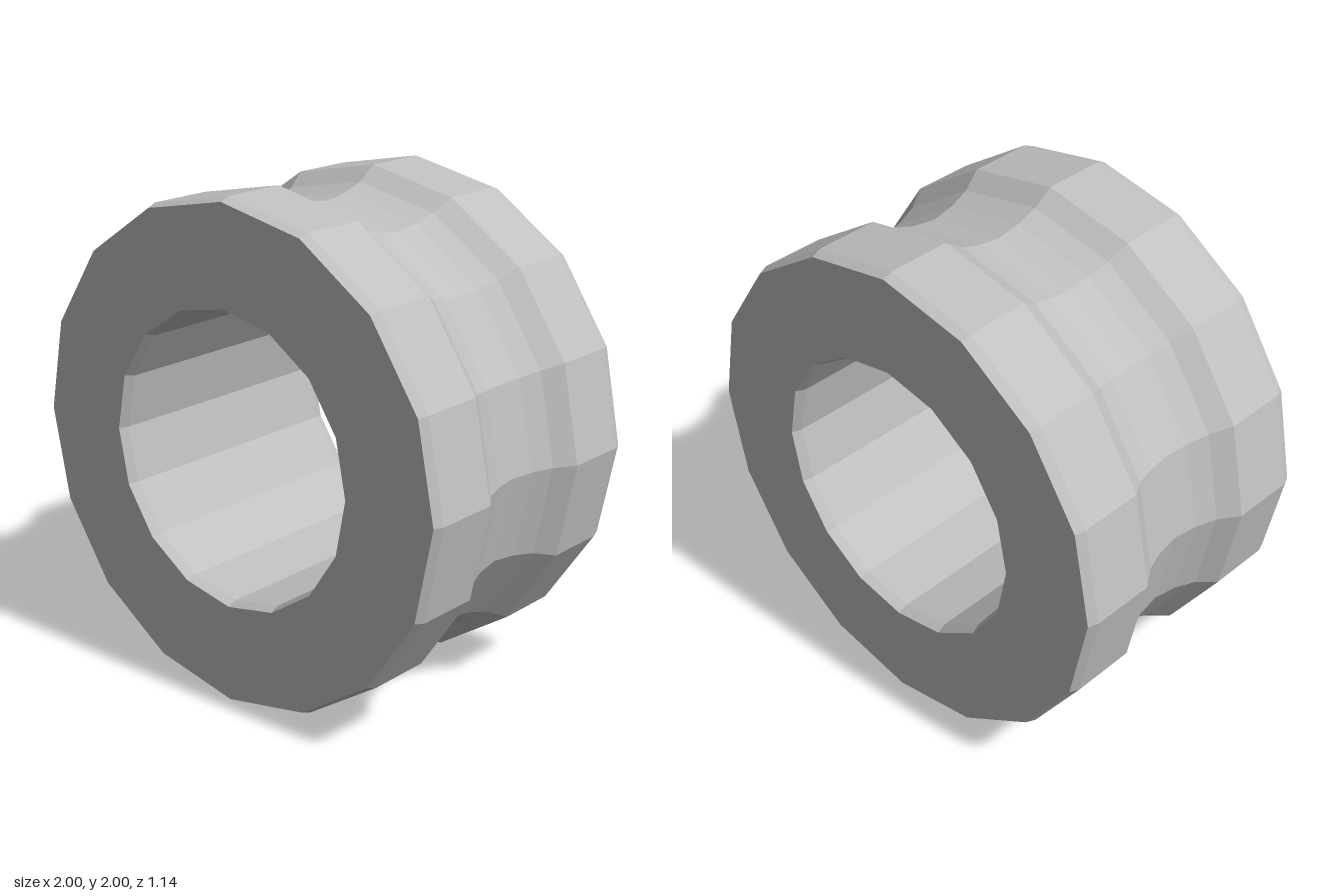
import * as THREE from 'three';

export function createModel() {
  const group = new THREE.Group();
  const grey = new THREE.MeshStandardMaterial({ color: 0xc0c0c0, flatShading: true });
  grey.name = 'plain grey';

  // Half of the section as [radius, distance along axis], from mid-groove to mid-bore
  const half = [
    [0.9, 0], [0.915, 0.1], [0.945, 0.19], [1, 0.27], // groove
    [1, 0.53], [0.985, 0.57],                         // flange and outer bevel
    [0.59, 0.57], [0.575, 0.53],                      // end face and bore bevel
  ];
  const front = half.map(([r, z]) => new THREE.Vector2(r, z));
  const back = half.slice(1).reverse().map(([r, z]) => new THREE.Vector2(r, -z));

  // Closed section turned around the axis in 16 flat sides
  const roller = new THREE.Mesh(
    new THREE.LatheGeometry([...front, ...back, front[0].clone()], 16),
    grey
  );
  roller.name = 'groovedRoller';
  roller.rotation.x = Math.PI / 2;
  roller.position.y = 1;
  group.add(roller);
  return group;
}
